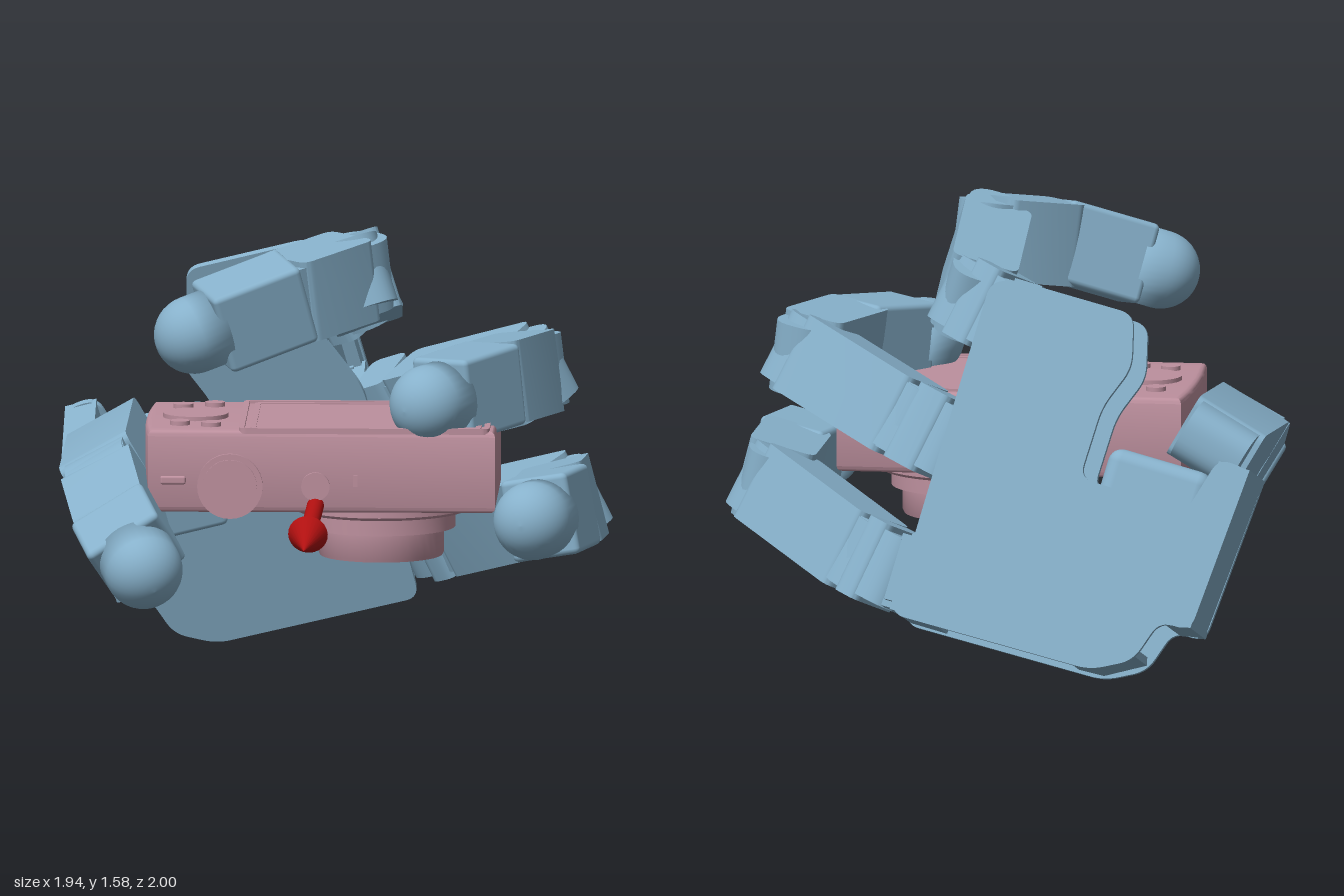
import * as THREE from 'three';
import { RoundedBoxGeometry } from 'three/addons/geometries/RoundedBoxGeometry.js';
import { toCreasedNormals } from 'three/addons/utils/BufferGeometryUtils.js';

const V = (x, y, z) => new THREE.Vector3(x, y, z);
const mat = (color) => new THREE.MeshStandardMaterial({ color });
const BLUE = mat(0x87b1cb), PINK = mat(0xbd909e), RED = mat(0xb01010);

function add(parent, name, geo, material, x = 0, y = 0, z = 0) {
  const m = new THREE.Mesh(geo, material);
  m.name = name;
  m.position.set(x, y, z);
  parent.add(m);
  return m;
}

function polygon(pts) {
  return new THREE.Shape(pts.map(([x, y]) => new THREE.Vector2(x, y)));
}

// Polygon with every corner rounded by a curve
function roundedShape(pts, r) {
  const s = new THREE.Shape();
  const n = pts.length;
  pts.forEach(([x, y], i) => {
    const p = new THREE.Vector2(x, y);
    const before = new THREE.Vector2(...pts[(i + n - 1) % n]).sub(p);
    const after = new THREE.Vector2(...pts[(i + 1) % n]).sub(p);
    const a = before.clone().setLength(Math.min(r, before.length() * 0.45)).add(p);
    const b = after.clone().setLength(Math.min(r, after.length() * 0.45)).add(p);
    if (i) s.lineTo(a.x, a.y); else s.moveTo(a.x, a.y);
    s.quadraticCurveTo(x, y, b.x, b.y);
  });
  s.closePath();
  return s;
}

const rect = (x0, y0, x1, y1) => [[x0, y0], [x1, y0], [x1, y1], [x0, y1]];

function extrude(shape, depth) {
  const g = new THREE.ExtrudeGeometry(shape, { depth, bevelEnabled: false, curveSegments: 8 });
  return toCreasedNormals(g, 0.6);
}

// Group at a whose x axis runs to b and whose z axis is the hinge axis
function limb(parent, name, a, b, hinge) {
  const g = new THREE.Group();
  g.name = name;
  const x = b.clone().sub(a).normalize();
  const z = hinge.clone().addScaledVector(x, -hinge.dot(x)).normalize();
  const y = z.clone().cross(x);
  g.quaternion.setFromRotationMatrix(new THREE.Matrix4().makeBasis(x, y, z));
  g.position.copy(a);
  parent.add(g);
  return g;
}

// Round-ended core inside a wider square-edged shell
function phalanx(parent, name, a, b, hinge, w, t) {
  const g = limb(parent, name, a, b, hinge);
  const L = a.distanceTo(b);
  const r = t * 0.46;
  add(g, 'core', extrude(roundedShape(rect(-r, -r, L + r, r), r), w - 0.04), BLUE, 0, 0, -(w - 0.04) / 2);
  const shell = roundedShape(rect(0, -t / 2, L - 0.01, t / 2), 0.04);
  add(g, 'shell', extrude(shell, w), BLUE, 0, 0, -w / 2);
}

// Fingertip: square sleeve, then a domed pad
function fingertip(parent, a, b, hinge, r) {
  const g = limb(parent, 'fingertip', a, b, hinge);
  const L = a.distanceTo(b);
  const end = L - 0.07;
  add(g, 'sleeve', new RoundedBoxGeometry(end + 0.05, r * 1.8, r * 2.1, 2, 0.02), BLUE, end / 2 - 0.025, 0, 0);
  const pts = [new THREE.Vector2(0, -0.1), new THREE.Vector2(r, -0.1)];
  for (let i = 0; i <= 10; i++) {
    const q = (i / 10) * Math.PI / 2;
    pts.push(new THREE.Vector2(r * Math.cos(q), r * Math.sin(q)));
  }
  const dome = add(g, 'pad', new THREE.LatheGeometry(pts, 32), BLUE, L, 0, 0);
  dome.rotation.z = -Math.PI / 2;
}

function finger(parent, name, joints, hinge, w, t) {
  const g = new THREE.Group();
  g.name = name;
  parent.add(g);
  const p = joints.map((j) => V(...j));
  const last = p.length - 2;
  for (let i = 0; i < last; i++) phalanx(g, 'phalanx' + (i + 1), p[i], p[i + 1], hinge, w, t);
  fingertip(g, p[last], p[last + 1], hinge, 0.138);
}

function buildPalm(parent) {
  const palm = new THREE.Group();
  palm.name = 'palm';
  palm.position.set(0, 0.13, -0.995);
  palm.rotation.x = 0.2775;
  parent.add(palm);

  // Back plate and palm cover share the thumb side and the heel
  const thumbSide = [[-0.54, 1.23], [-0.54, 1.04], [-0.44, 0.9], [-0.37, 0.65], [-0.75, 0.54],
    [-0.86, 0.73], [-0.97, 0.69], [-0.78, 0.12]];
  const heel = [[-0.67, 0.15], [-0.58, 0.01], [-0.43, -0.025], [0.28, 0.155]];
  const back = roundedShape([...thumbSide, ...heel, [-0.03, 1.33], [-0.12, 1.34]], 0.05);
  const cover = roundedShape([...thumbSide, ...heel, [0.09, 0.96], [-0.08, 1.2], [-0.12, 1.33]], 0.05);
  add(palm, 'backPlate', extrude(back, 0.03), BLUE);
  add(palm, 'palmCover', extrude(cover, 0.03), BLUE, 0, 0, 0.4);

  // Walls and inner frame
  const wall = polygon([[-0.97, 0.69], [-0.78, 0.13], [-0.69, 0.14], [-0.86, 0.72]]);
  add(palm, 'thumbSideWall', extrude(wall, 0.43), BLUE);
  const lip = polygon([[-0.58, 0.03], [-0.43, -0.01], [-0.34, 0.01], [-0.34, 0.04], [-0.43, 0.02], [-0.58, 0.06]]);
  add(palm, 'heelWall', extrude(lip, 0.42), BLUE);
  const bar = polygon([[0.13, 0.125], [0.26, 0.16], [0.25, 0.2], [0.12, 0.165]]);
  add(palm, 'heelBar', extrude(bar, 0.42), BLUE);
  add(palm, 'frame', new THREE.BoxGeometry(0.33, 0.82, 0.4), BLUE, -0.1, 0.74, 0.215).rotation.z = 0.26;
  add(palm, 'edgeRail', new THREE.BoxGeometry(0.06, 1.04, 0.11), BLUE, 0.08, 0.77, 0.06).rotation.z = 0.26;
  add(palm, 'upperServo', new RoundedBoxGeometry(0.3, 0.24, 0.38, 2, 0.03), BLUE, -0.3, 1.12, 0.21).rotation.z = 0.26;
  const thumbBase = new THREE.Group();
  thumbBase.name = 'thumbBase';
  thumbBase.position.set(-0.62, 0.58, 0.31);
  thumbBase.rotation.z = 0.26;
  palm.add(thumbBase);
  add(thumbBase, 'servo', new RoundedBoxGeometry(0.38, 0.3, 0.3, 3, 0.05), BLUE, 0.01, 0, -0.08);
  add(thumbBase, 'bracket', new RoundedBoxGeometry(0.42, 0.28, 0.26, 2, 0.02), BLUE, 0, 0, 0.14);

  // Stepped knuckle brackets on the finger side
  [[0.33, 0.33], [0.16, 0.79], [0, 1.235]].forEach(([x, y]) => {
    const k = new THREE.Group();
    k.name = 'knuckleBracket';
    k.position.set(x, y, 0);
    k.rotation.z = 0.26;
    palm.add(k);
    for (const s of [-1, 1]) {
      add(k, 'fork', new THREE.BoxGeometry(0.16, 0.025, 0.2), BLUE, -0.12, s * 0.12, 0.18);
      add(k, 'step', new THREE.BoxGeometry(0.1, 0.06, 0.1), BLUE, -0.13, s * 0.11, 0.08);
    }
    add(k, 'block', new THREE.BoxGeometry(0.14, 0.22, 0.22), BLUE, -0.12, 0, 0.14);
  });
}

function buildCamera(parent) {
  const cam = new THREE.Group();
  cam.name = 'camera';
  parent.add(cam);

  // Body with one softly bowed end
  const plan = new THREE.Shape();
  plan.moveTo(-0.62, -0.11);
  plan.lineTo(0.56, -0.11);
  plan.lineTo(0.56, 0.55);
  plan.lineTo(-0.62, 0.55);
  plan.quadraticCurveTo(-0.65, 0.22, -0.62, -0.11);
  const body = new THREE.ExtrudeGeometry(plan, { depth: 0.25, bevelThickness: 0.02, bevelSize: 0.02, bevelSegments: 3 });
  body.rotateX(Math.PI / 2);
  add(cam, 'body', toCreasedNormals(body, 0.6), PINK, 0, 0.895, 0);

  // Screen with raised frames
  const frame = (x0, z0, x1, z1, b, h, y) => {
    const s = roundedShape(rect(x0, z0, x1, z1), 0.03);
    s.holes.push(new THREE.Path(rect(x0 + b, z0 + b, x1 - b, z1 - b).map((p) => new THREE.Vector2(...p))));
    add(cam, 'screenFrame', extrude(s, h).rotateX(Math.PI / 2), PINK, 0, y, 0);
  };
  frame(-0.32, -0.1, 0.56, 0.57, 0.02, 0.02, 0.925);
  frame(-0.28, -0.07, 0.53, 0.54, 0.02, 0.02, 0.922);
  add(cam, 'screen', new THREE.BoxGeometry(0.78, 0.01, 0.58), PINK, 0.125, 0.913, 0.235);

  // Buttons on the screen side
  for (const [x, z, r] of [[-0.53, 0.02, 0.035], [-0.42, -0.02, 0.035], [-0.48, 0.23, 0.115], [-0.53, 0.42, 0.035], [-0.42, 0.45, 0.035]]) {
    add(cam, 'button', new THREE.CylinderGeometry(r, r, 0.02, 28), PINK, x, 0.92, z);
  }
  // Controls on the narrow side
  for (const [x, r, h] of [[-0.35, 0.115, 0.03], [-0.35, 0.095, 0.045], [-0.05, 0.05, 0.03]]) {
    add(cam, 'dial', new THREE.CylinderGeometry(r, r, h, 32), PINK, x, 0.72, 0.57).rotation.x = Math.PI / 2;
  }
  add(cam, 'switch', new RoundedBoxGeometry(0.09, 0.03, 0.02, 2, 0.008), PINK, -0.55, 0.74, 0.57);
  add(cam, 'mark', new THREE.BoxGeometry(0.015, 0.04, 0.015), PINK, 0.09, 0.74, 0.57);

  // Stepped lens with a square aperture
  const profile = [[0, 0.46], [0.1, 0.46], [0.12, 0.43], [0.215, 0.43], [0.22, 0.44], [0.22, 0.53], [0.26, 0.53],
    [0.26, 0.59], [0.3, 0.59], [0.31, 0.6], [0.31, 0.65]];
  const lens = new THREE.LatheGeometry(profile.map((p) => new THREE.Vector2(...p)), 40);
  add(cam, 'lens', toCreasedNormals(lens, 0.6), PINK, 0.17, 0, 0.22);
  const aperture = polygon(rect(-0.08, -0.08, 0.08, 0.08));
  aperture.holes.push(new THREE.Path(rect(-0.05, -0.05, 0.05, 0.05).map((p) => new THREE.Vector2(...p))));
  add(cam, 'aperture', extrude(aperture, 0.02).rotateX(Math.PI / 2), PINK, 0.17, 0.462, 0.22);
}

function buildArrow(parent) {
  const start = V(-0.045, 0.67, 0.5), tip = V(-0.08, 0.548, 0.96);
  const g = limb(parent, 'arrow', start, tip, V(0, 1, 0));
  const L = start.distanceTo(tip);
  const head = 0.15;
  add(g, 'shaft', new THREE.CylinderGeometry(0.03, 0.03, L - head, 24), RED, (L - head) / 2).rotation.z = -Math.PI / 2;
  add(g, 'head', new THREE.ConeGeometry(0.07, head, 24), RED, L - head / 2).rotation.z = -Math.PI / 2;
}

export function createModel() {
  const model = new THREE.Group();
  model.name = 'robotHandWithCamera';
  buildPalm(model);
  // Joints run from the knuckle to the centre of the rounded tip
  const hinge = V(-0.26, 0.93, 0.26);
  finger(model, 'indexFinger', [[-0.04, 1.25, -0.4], [0.07, 1.29, -0.32], [0.085, 1.415, 0.2], [-0.16, 1.36, 0.42], [-0.48, 1.25, 0.53]], hinge, 0.29, 0.24);
  finger(model, 'middleFinger', [[0.14, 0.82, -0.52], [0.27, 0.87, -0.45], [0.69, 1.03, -0.1], [0.545, 1.03, 0.22], [0.345, 1, 0.48]], hinge, 0.29, 0.24);
  finger(model, 'littleFinger', [[0.32, 0.38, -0.65], [0.41, 0.41, -0.58], [0.81, 0.57, -0.12], [0.79, 0.59, 0.23], [0.71, 0.59, 0.5]], hinge, 0.29, 0.24);
  finger(model, 'thumb', [[-0.765, 0.76, -0.17], [-0.78, 0.71, 0.4], [-0.72, 0.57, 0.67], [-0.645, 0.465, 0.862]], V(0.86, 0.5, 0), 0.27, 0.24);
  buildCamera(model);
  buildArrow(model);
  return model;
}
